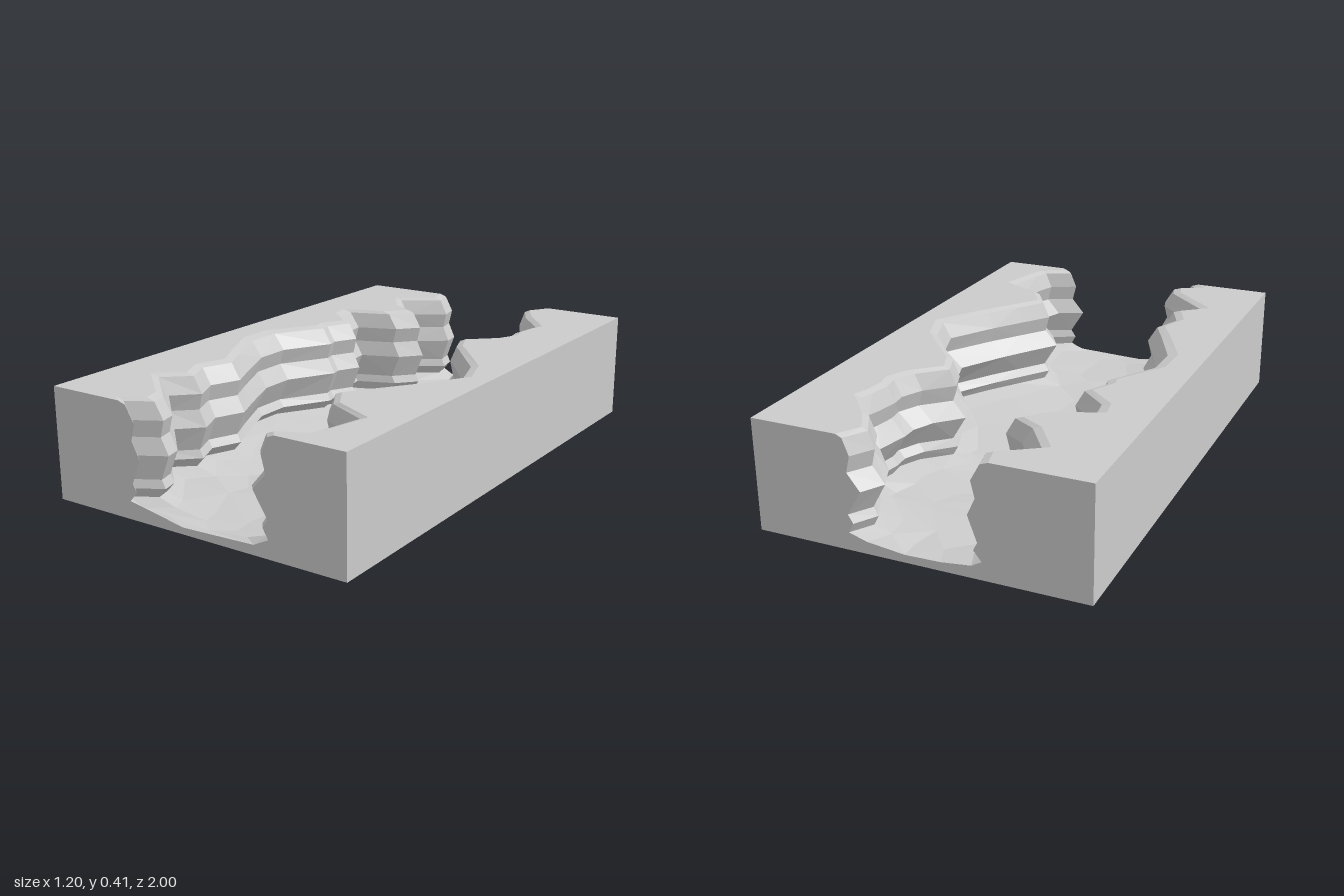
import * as THREE from 'three';

const HALF = 0.6, TOP = 0.41;

// Canyon stations from back to front: z, right-hand wall x, left-hand wall x
const STATIONS = [
  [-1, -0.18, 0.2], [-0.92, -0.165, 0.155], [-0.82, -0.3, 0.2], [-0.69, -0.21, 0.31],
  [-0.64, -0.13, 0.3], [-0.56, -0.2, 0.285], [-0.5, -0.35, 0.285], [-0.42, -0.34, 0.25],
  [-0.33, -0.25, 0.165], [-0.24, -0.295, 0.195], [-0.2, -0.285, 0.23], [-0.02, -0.385, 0.365],
  [0.12, -0.385, 0.41], [0.3, -0.31, 0.31], [0.41, -0.26, 0.24], [0.52, -0.305, 0.165],
  [0.62, -0.26, 0.225], [0.7, -0.34, 0.37], [0.86, -0.18, 0.345], [0.92, -0.165, 0.325],
  [0.97, -0.255, 0.225], [1, -0.22, 0.25],
];

// Rock strata from rim to foot: height, recess into right wall, recess into left wall
const STRATA = [
  [TOP, 0.08, 0.085], [0.4, 0.05, 0.06], [0.34, 0.015, 0.035], [0.28, 0.03, 0.05],
  [0.22, 0, 0], [0.13, 0.035, 0.055], [0.1, 0.02, 0.035], [0.065, 0.05, 0.055],
];
const FLOOR = [[0.1, 0.045], [0.33, 0.027], [0.6, 0.027], [0.9, 0.043]];

function seeded(seed) {
  return () => {
    seed = (seed * 16807) % 2147483647;
    return seed / 2147483647 - 0.5;
  };
}

// Outline of the block at one station, clockwise seen from the front
function section([z, right, left], rand) {
  const s = 0.6 + 0.9 * (left - right);
  const wallR = STRATA.map(([y, r]) => [right - r * s, y]);
  const wallL = STRATA.map(([y, , r]) => [left + r * s, y]).reverse();
  const floor = FLOOR.map(([t, y]) => [
    THREE.MathUtils.lerp(right - 0.03, left + 0.03, t + rand() * 0.12),
    y + rand() * 0.016,
  ]);
  return [[-HALF, 0], [-HALF, TOP], ...wallR, ...floor, ...wallL, [HALF, TOP], [HALF, 0]]
    .map(([x, y]) => new THREE.Vector3(x, y, z));
}

// Faceted strip joining ring points "from" to "to" along every station
function strip(rings, from, to) {
  const pts = [];
  for (let i = 0; i < rings.length - 1; i++) {
    for (let j = from; j < to; j++) {
      const k = (j + 1) % rings[0].length;
      const a = rings[i][j], b = rings[i][k], c = rings[i + 1][k], d = rings[i + 1][j];
      if ((i + j) % 2) pts.push(d, c, b, d, b, a);
      else pts.push(d, c, a, c, b, a);
    }
  }
  const geo = new THREE.BufferGeometry().setFromPoints(pts);
  geo.computeVertexNormals();
  return geo;
}

// Flat end face; the back one is mirrored and then turned round
function endFace(ring, sign) {
  const shape = new THREE.Shape(ring.map(p => new THREE.Vector2(p.x * sign, p.y)));
  const geo = new THREE.ShapeGeometry(shape);
  if (sign < 0) geo.rotateY(Math.PI);
  return geo.translate(0, 0, ring[0].z);
}

export function createModel() {
  const group = new THREE.Group();
  group.name = 'canyonBlock';
  const material = new THREE.MeshStandardMaterial({ color: 0xcccccc, flatShading: true });
  const add = (name, geo) => {
    const mesh = new THREE.Mesh(geo, material);
    mesh.name = name;
    group.add(mesh);
  };

  const rand = seeded(4177);
  const rings = STATIONS.map(st => section(st, rand));
  const n = rings[0].length, w = STRATA.length, f = FLOOR.length;
  const footR = 1 + w, footL = footR + f + 1, rimL = footL + w - 1;

  // Rock walls and bed
  add('rightCanyonWall', strip(rings, 2, footR));
  add('canyonFloor', strip(rings, footR, footL));
  add('leftCanyonWall', strip(rings, footL, rimL));

  // Plateaus, outer sides and underside
  add('rightPlateau', strip(rings, 1, 2));
  add('leftPlateau', strip(rings, rimL, rimL + 1));
  add('rightSide', strip(rings, 0, 1));
  add('leftSide', strip(rings, n - 2, n - 1));
  add('underside', strip(rings, n - 1, n));

  // Cut ends
  add('frontEnd', endFace(rings[rings.length - 1], 1));
  add('backEnd', endFace(rings[0], -1));
  return group;
}
